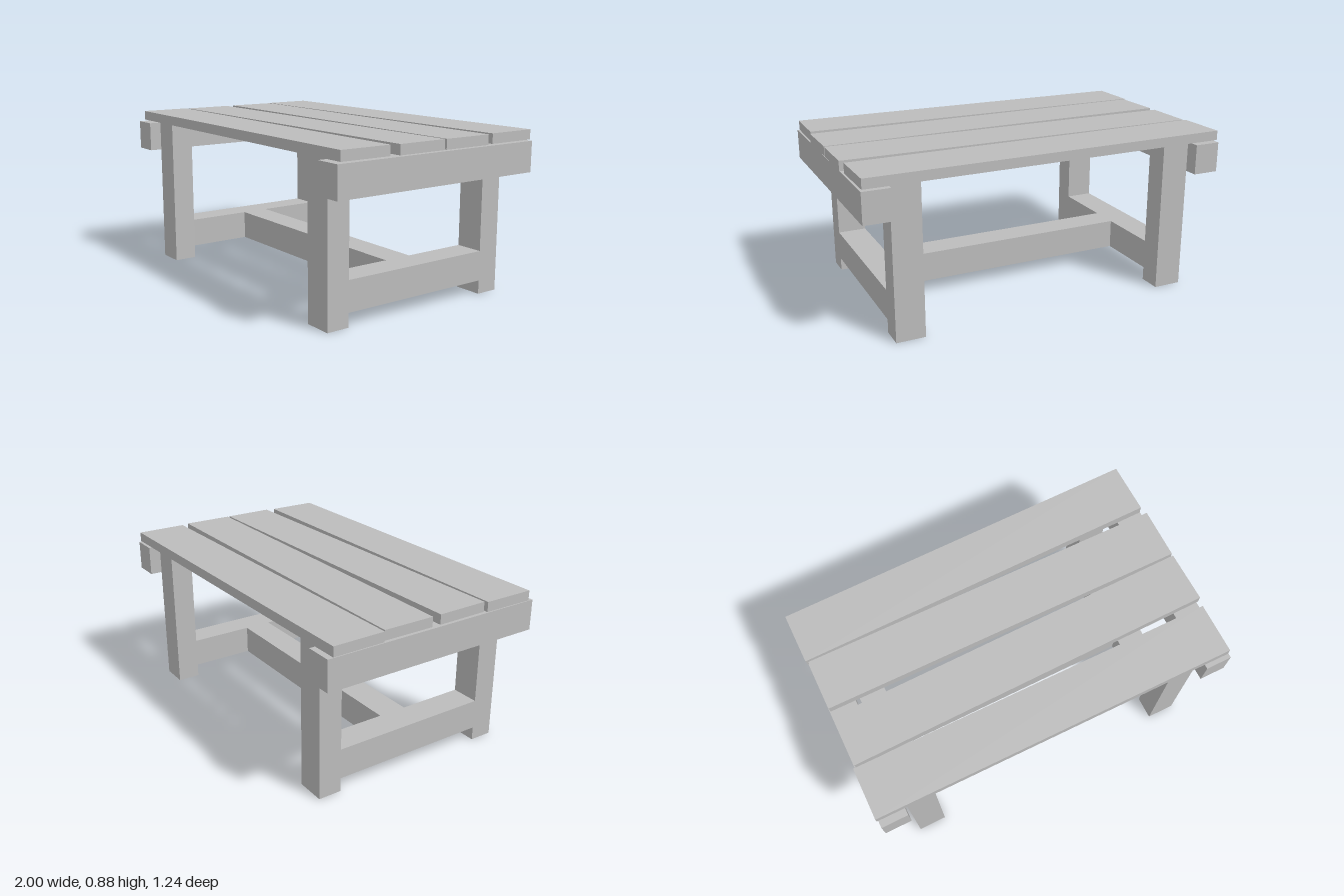
import * as THREE from 'three';

export function createModel() {
  const table = new THREE.Group();
  table.name = 'plankTable';
  const grey = new THREE.MeshStandardMaterial({ color: 0xbcbcbc });
  grey.name = 'plain grey';

  // Box given by its min and max corners
  function bar(name, [x0, y0, z0], [x1, y1, z1]) {
    const mesh = new THREE.Mesh(new THREE.BoxGeometry(x1 - x0, y1 - y0, z1 - z0), grey);
    mesh.position.set((x0 + x1) / 2, (y0 + y1) / 2, (z0 + z1) / 2);
    mesh.name = name;
    table.add(mesh);
    return mesh;
  }

  // Each end: two legs, a low stretcher flush with them, and a beam outside
  for (const side of [-1, 1]) {
    const label = side > 0 ? 'left' : 'right';
    const span = (a, b) => (side > 0 ? [a, b] : [-b, -a]);
    const [l0, l1] = span(0.685, 0.84);
    const [b0, b1] = span(0.85, 0.993);
    bar(label + 'FrontLeg', [l0, 0, 0.435], [l1, 0.818, 0.56]);
    bar(label + 'BackLeg', [l0, 0, -0.56], [l1, 0.818, -0.435]);
    bar(label + 'EndStretcher', [l0, 0.073, -0.435], [l1, 0.234, 0.435]);
    bar(label + 'TopBeam', [b0, 0.656, -0.622], [b1, 0.818, 0.622]);
  }

  // Long stretcher joining the two ends
  bar('longStretcher', [-0.685, 0.073, -0.078], [0.685, 0.234, 0.078]);

  // Four top planks, each laid slightly askew: [x, z, turn]
  const planks = [
    [-0.006, -0.467, 0.0078],
    [0.006, -0.163, -0.0085],
    [0.006, 0.145, 0.0098],
    [-0.006, 0.453, -0.0078],
  ];
  planks.forEach(([x, z, turn], i) => {
    const plank = bar('topPlank' + (i + 1), [x - 0.993, 0.825, z - 0.139], [x + 0.993, 0.877, z + 0.139]);
    plank.rotation.y = turn;
  });

  return table;
}
